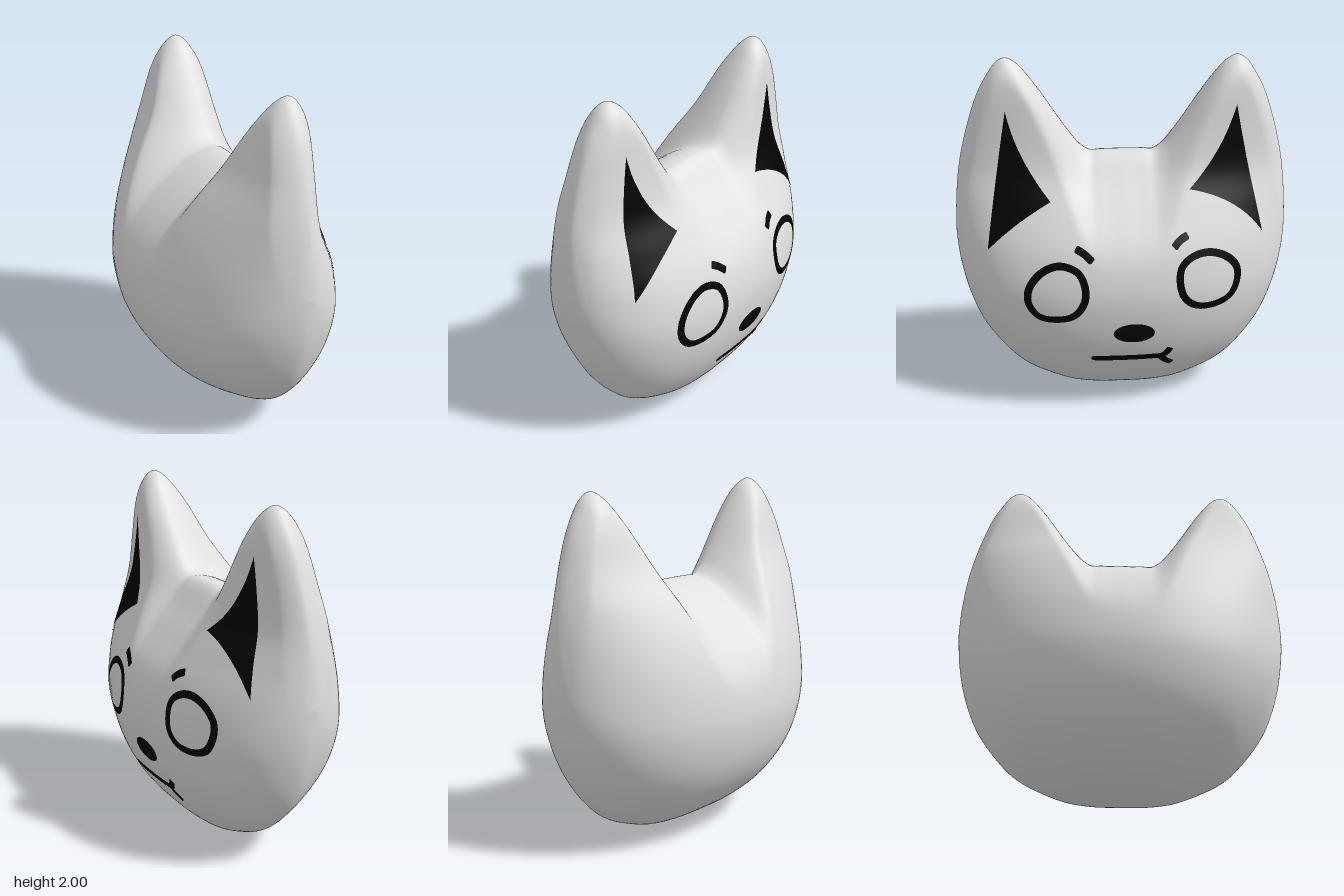
import * as THREE from 'three';

const EDGE = 0.948; // half width of the head along z
const { smoothstep, clamp } = THREE.MathUtils;

// Smooth function through [input, output] points
function through(points) {
  const pts = new THREE.CatmullRomCurve3(points.map(([a, b]) => new THREE.Vector3(a, b, 0))).getPoints(400);
  return (a) => {
    const i = pts.findIndex((p) => p.x >= a);
    if (i < 0) return pts[pts.length - 1].y;
    if (i === 0) return pts[0].y;
    const p = pts[i - 1], q = pts[i];
    return p.y + (q.y - p.y) * (a - p.x) / (q.x - p.x);
  };
}

// Outline of one half of the head: height y by z
const upper = through([[0, 1.467], [0.12, 1.465], [0.18, 1.462], [0.235, 1.5], [0.31, 1.6], [0.44, 1.8], [0.51, 1.9],
  [0.57, 1.97], [0.63, 2], [0.68, 1.975], [0.735, 1.9], [0.79, 1.8], [0.86, 1.6], [0.91, 1.4], [0.937, 1.2], [EDGE, 1]]);
const lower = through([[0, 0], [0.15, 0.003], [0.3, 0.025], [0.45, 0.08], [0.55, 0.13], [0.64, 0.2], [0.8, 0.4],
  [0.885, 0.6], [0.93, 0.8], [EDGE, 1]]);

// Relative thickness by height, towards the face and towards the back
const faceDepth = through([[0.6, 1], [0.8, 0.99], [1, 0.89], [1.2, 0.66], [1.4, 0.42], [1.6, 0.34], [1.8, 0.3], [1.9, 0.26], [2, 0.2]]);
const backDepth = through([[0.6, 1], [0.8, 1], [1, 0.95], [1.2, 0.84], [1.4, 0.68], [1.6, 0.48], [1.8, 0.34], [1.9, 0.26], [2, 0.18]]);

// Point on the skin at z, with phi running from the top over the face to the bottom and up the back
function skin(zSigned, phi) {
  const z = Math.min(Math.abs(zSigned), EDGE);
  const b = lower(z), t = upper(z);
  const y = b + (t - b) * (1 + Math.cos(phi)) / 2;
  const front = Math.sin(phi) > 0;
  const mid = 0.78 + 0.22 * Math.pow(z / EDGE, 4);
  // Rounding of the crown and ear tips
  const radius = Math.min(0.58 - 0.45 * smoothstep(z, 0.05, 0.6) + 0.25 * smoothstep(z, 0.65, 0.9), t - mid);
  const u = radius > 0 ? clamp((t - y) / radius, 0, 1) : 0;
  const crown = Math.sqrt(1 - (1 - u) ** 2);
  // Rounding of the chin
  const q = mid > b ? clamp((mid - y) / (mid - b), 0, 1) : 0;
  const chin = Math.sqrt(1 - q * q) * (1 - (front ? 0.23 : 0.4) * q ** 4);
  const w = Math.pow(Math.max(0, 1 - Math.pow(z / EDGE, 2.2)), front ? 0.5 : 0.6);
  const depth = front ? 0.46 * faceDepth(y) : -0.625 * backDepth(y);
  return [0.08 - 0.04 * Math.pow(z / EDGE, 4) + crown * chin * w * depth, y, zSigned];
}

// Point on the face just above the skin, from z and y
function onFace(z, y) {
  const b = lower(Math.abs(z)), t = upper(Math.abs(z));
  const phi = Math.acos(clamp(2 * (y - b) / (t - b) - 1, -1, 1));
  return [skin(z, phi)[0] + 0.004, y, z];
}

// Grid surface from fn(u, v) -> [x, y, z]; wrap joins the v direction
function grid(nu, nv, fn, wrap = false) {
  const pos = [], index = [], row = wrap ? nv : nv + 1;
  for (let i = 0; i <= nu; i++) for (let j = 0; j < row; j++) pos.push(...fn(i / nu, j / nv));
  for (let i = 0; i < nu; i++) {
    for (let j = 0; j < nv; j++) {
      const k = (j + 1) % row;
      const a = i * row + j, b = a + row, c = i * row + k, d = c + row;
      index.push(a, b, c, b, d, c);
    }
  }
  const g = new THREE.BufferGeometry();
  g.setAttribute('position', new THREE.Float32BufferAttribute(pos, 3));
  g.setIndex(index);
  g.computeVertexNormals();
  return g;
}

export function createModel() {
  const group = new THREE.Group();
  const white = new THREE.MeshStandardMaterial({ color: 0xe1e1e1 });
  white.name = 'pale skin';
  const black = new THREE.MeshStandardMaterial({ color: 0x030303, side: THREE.DoubleSide });
  black.name = 'black paint';
  const add = (name, geometry, material) => {
    const mesh = new THREE.Mesh(geometry, material);
    mesh.name = name;
    group.add(mesh);
  };

  // Head and ears in one skin
  add('head', grid(220, 96, (u, v) => skin(EDGE * Math.sin((u - 0.5) * Math.PI), v * Math.PI * 2), true), white);

  // Painted line along [z, y] points
  const stroke = (name, points, closed = false, width = 0.041) => {
    const curve = new THREE.CatmullRomCurve3(points.map(([z, y]) => new THREE.Vector3(0, y, z)), closed);
    add(name, grid(closed ? 64 : 24, 2, (u, v) => {
      const p = curve.getPointAt(u), t = curve.getTangentAt(u);
      const round = closed ? 1 : Math.min(1, 0.6 + 8 * Math.min(u, 1 - u));
      const k = (v - 0.5) * width * round;
      return onFace(p.z + t.y * k, p.y - t.z * k);
    }), black);
  };

  // Painted inner ear: three corners with the sides bowed through given midpoints
  const earPatch = (name, apex, outer, inner, midOuter, midInner, midBase) => {
    const bow = (a, m, b, t) => [0, 1].map((i) =>
      a[i] * (1 - t) * (1 - 2 * t) + m[i] * 4 * t * (1 - t) + b[i] * t * (2 * t - 1));
    add(name, grid(32, 20, (u, v) => {
      const l = bow(apex, midOuter, outer, u), r = bow(apex, midInner, inner, u);
      const lift = 4 * v * (1 - v) * u * u;
      return onFace(...[0, 1].map((i) =>
        l[i] + (r[i] - l[i]) * v + lift * (midBase[i] - (outer[i] + inner[i]) / 2)));
    }), black);
  };
  earPatch('leftInnerEar', [0.635, 1.735], [0.757, 0.99], [0.405, 1.265], [0.7, 1.36], [0.55, 1.48], [0.605, 1.135]);
  earPatch('rightInnerEar', [-0.617, 1.75], [-0.77, 1.05], [-0.353, 1.31], [-0.69, 1.41], [-0.51, 1.5], [-0.595, 1.22]);

  // Eye rings
  stroke('leftEye', [[0.355, 0.952], [0.268, 0.918], [0.23, 0.83], [0.24, 0.74], [0.3, 0.662], [0.41, 0.635],
    [0.488, 0.65], [0.54, 0.72], [0.54, 0.8], [0.488, 0.888], [0.42, 0.938]], true);
  stroke('rightEye', [[-0.44, 0.997], [-0.538, 0.968], [-0.608, 0.9], [-0.617, 0.82], [-0.578, 0.733], [-0.49, 0.695],
    [-0.38, 0.703], [-0.313, 0.76], [-0.288, 0.85], [-0.298, 0.928], [-0.352, 0.978]], true);

  // Brows
  stroke('leftBrow', [[0.278, 1.045], [0.235, 1.02], [0.187, 0.978]]);
  stroke('rightBrow', [[-0.255, 1.035], [-0.29, 1.07], [-0.335, 1.093]]);

  // Nose
  add('nose', grid(6, 32, (u, v) => onFace(-0.038 + 0.115 * u * Math.cos(v * 2 * Math.PI),
    0.545 + 0.064 * u * Math.sin(v * 2 * Math.PI)), true), black);

  // Mouth with a forked corner
  stroke('mouth', [[0.2, 0.357], [0, 0.357], [-0.22, 0.36]]);
  stroke('mouthCornerUpper', [[-0.19, 0.355], [-0.225, 0.38], [-0.247, 0.42]]);
  stroke('mouthCornerLower', [[-0.19, 0.36], [-0.22, 0.32], [-0.262, 0.285]]);

  return group;
}
